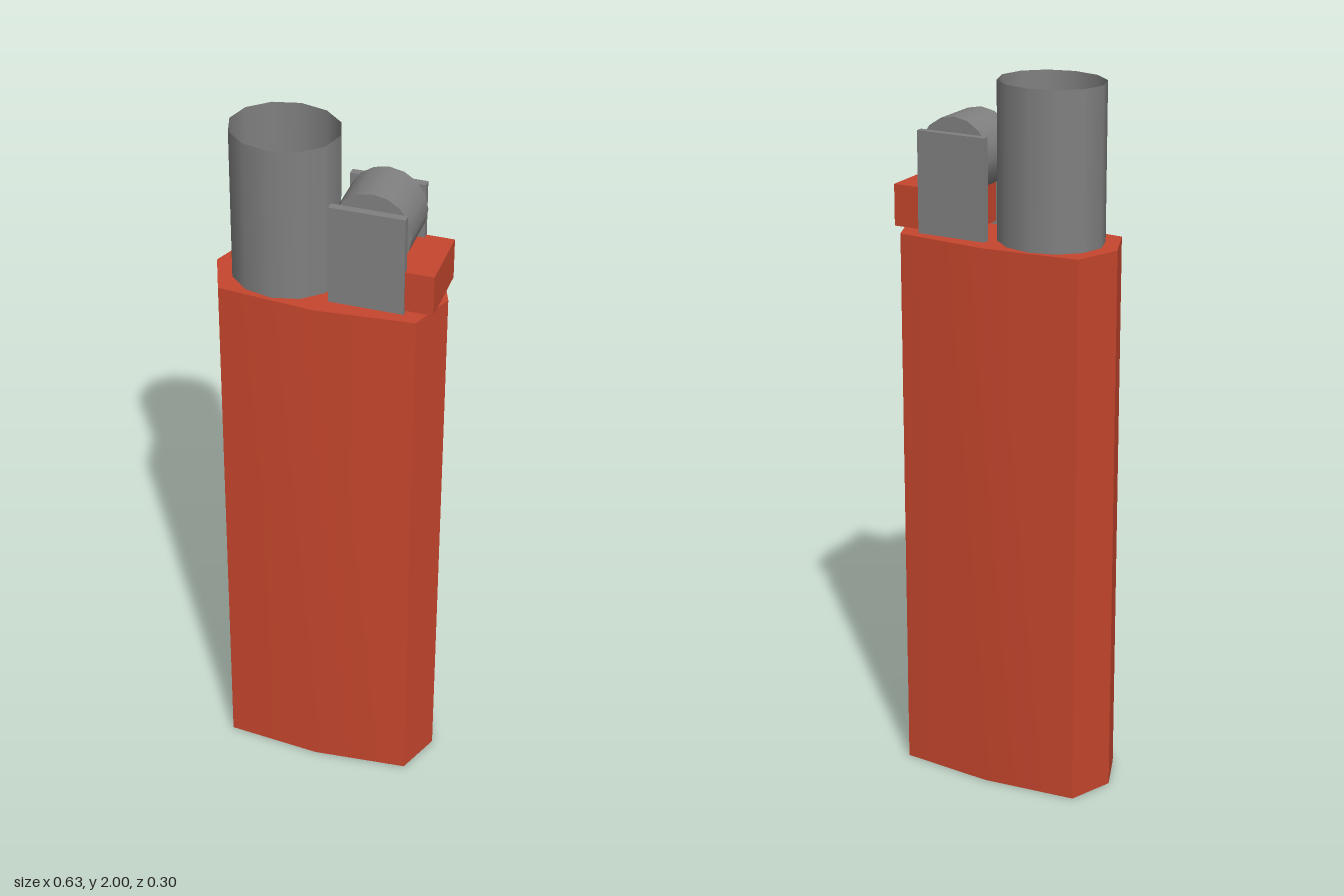
import * as THREE from 'three';
import { toCreasedNormals } from 'three/addons/utils/BufferGeometryUtils.js';

export function createModel() {
  const model = new THREE.Group();
  model.name = 'lighter';

  const red = new THREE.MeshStandardMaterial({ color: 0xc5462d });
  red.name = 'red plastic';
  const metal = new THREE.MeshStandardMaterial({ color: 0x808080, side: THREE.DoubleSide });
  metal.name = 'grey metal';

  const bodyTop = 1.57;

  const add = (name, geometry, material, x = 0, y = 0, z = 0) => {
    const mesh = new THREE.Mesh(geometry, material);
    mesh.name = name;
    mesh.position.set(x, y, z);
    model.add(mesh);
    return mesh;
  };

  // Body: an eight-sided prism, softly curved across its broad faces
  const outline = [
    [0.317, 0], [0.267, 0.128], [0, 0.152], [-0.267, 0.128],
    [-0.317, 0], [-0.267, -0.128], [0, -0.152], [0.267, -0.128],
  ].map(([x, y]) => new THREE.Vector2(x, y));
  const body = new THREE.ExtrudeGeometry(new THREE.Shape(outline), { depth: bodyTop, bevelEnabled: false });
  body.rotateX(-Math.PI / 2);
  add('body', toCreasedNormals(body, 0.5), red);

  // Wind guard: an open oval sleeve around the nozzle
  const sleeveHeight = 2 - bodyTop;
  const sleeve = new THREE.CylinderGeometry(1, 1, sleeveHeight, 12, 1, true);
  sleeve.rotateY(Math.PI / 2);
  sleeve.scale(0.148, 1, 0.13);
  add('windGuard', sleeve, metal, -0.122, bodyTop + sleeveHeight / 2, 0);

  // Gas nozzle: a small tapered hexagonal stub
  const nozzle = new THREE.CylinderGeometry(0.027, 0.035, 0.1, 6);
  add('nozzle', toCreasedNormals(nozzle, 0.5), metal, -0.122, bodyTop + 0.05, 0);

  // Spark wheel, lying across the body
  const wheel = new THREE.CylinderGeometry(0.106, 0.106, 0.145, 16);
  wheel.rotateX(Math.PI / 2);
  add('sparkWheel', wheel, metal, 0.131, 1.785, 0);

  // Upright plates on both sides of the wheel
  for (const side of [1, -1]) {
    const plate = new THREE.BoxGeometry(0.202, 0.28, 0.021);
    add(side > 0 ? 'frontWheelPlate' : 'backWheelPlate', plate, metal, 0.126, bodyTop + 0.14, side * 0.0905);
  }

  // Thumb button
  add('button', new THREE.BoxGeometry(0.214, 0.115, 0.191), red, 0.197, 1.637, 0);

  return model;
}
